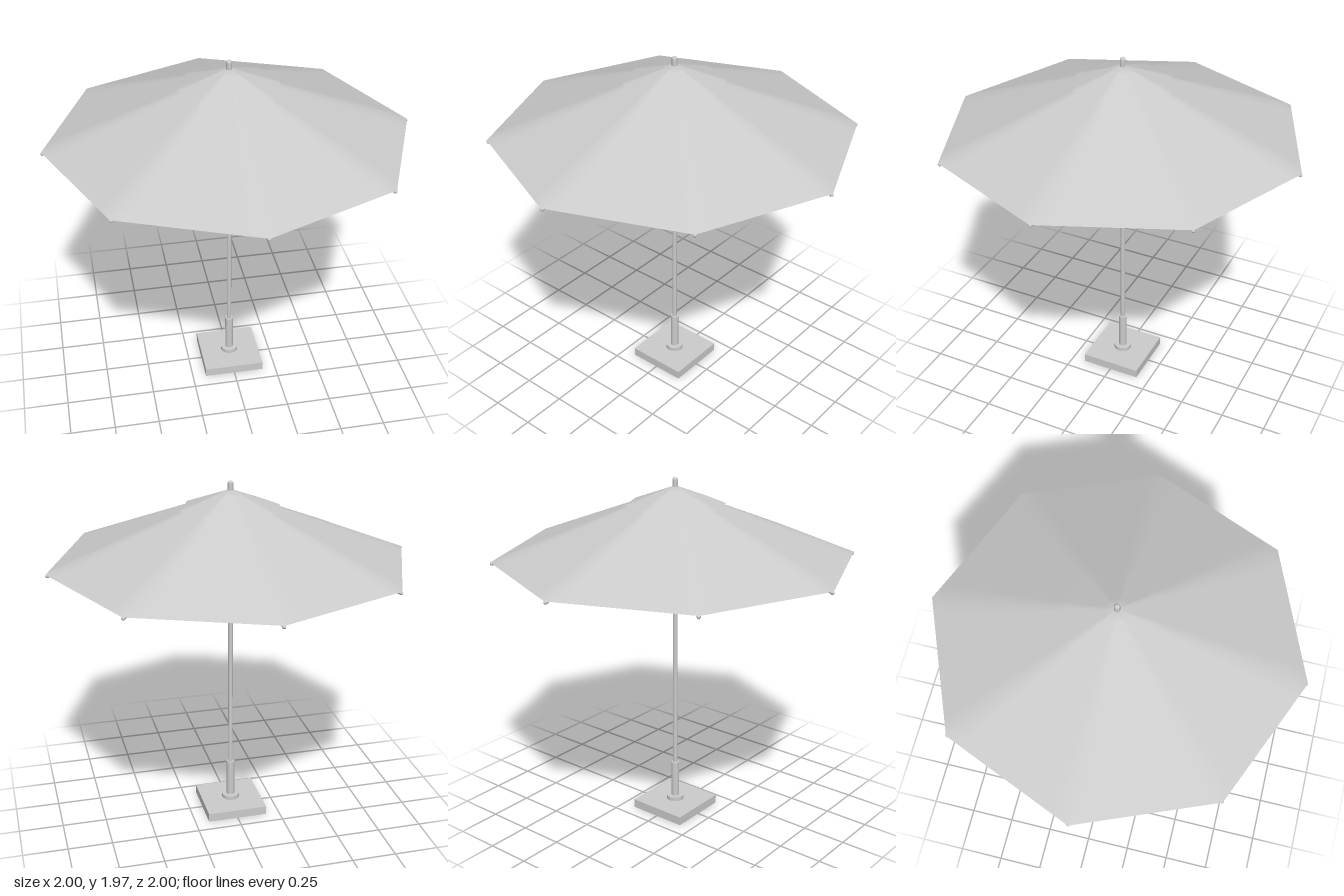
import * as THREE from 'three';

const SIDES = 8;
const grey = new THREE.MeshStandardMaterial({ color: 0xcccccc });
const cloth = new THREE.MeshStandardMaterial({ color: 0xcccccc, side: THREE.DoubleSide });

function add(parent, name, geometry, material = grey) {
  const mesh = new THREE.Mesh(geometry, material);
  mesh.name = name;
  parent.add(mesh);
  return mesh;
}

// Upright cylinder from y0 to y1
function post(parent, name, radius, y0, y1, segments = 24) {
  const mesh = add(parent, name, new THREE.CylinderGeometry(radius, radius, y1 - y0, segments));
  mesh.position.y = (y0 + y1) / 2;
  return mesh;
}

// Straight round bar between two points
function bar(parent, name, a, b, radius) {
  const dir = new THREE.Vector3().subVectors(b, a);
  const mesh = add(parent, name, new THREE.CylinderGeometry(radius, radius, dir.length(), 10));
  mesh.position.addVectors(a, b).multiplyScalar(0.5);
  mesh.quaternion.setFromUnitVectors(new THREE.Vector3(0, 1, 0), dir.normalize());
  return mesh;
}

// Eight-panelled cloth pyramid, softly creased at the seams
function octagonCloth(radius, top, bottom, rings) {
  const panelSteps = 8;
  const around = SIDES * panelSteps;
  const positions = [0, top, 0];
  const index = [];
  const corner = (i) => new THREE.Vector2(
    Math.cos((i * 2 * Math.PI) / SIDES), Math.sin((i * 2 * Math.PI) / SIDES));
  for (let r = 1; r <= rings; r++) {
    const t = r / rings;
    for (let s = 0; s < around; s++) {
      const panel = Math.floor(s / panelSteps);
      const p = corner(panel).lerp(corner(panel + 1), (s % panelSteps) / panelSteps);
      positions.push(p.x * radius * t, top + (bottom - top) * t, p.y * radius * t);
    }
  }
  const at = (r, s) => (r === 0 ? 0 : 1 + (r - 1) * around + (s % around));
  for (let r = 0; r < rings; r++) {
    for (let s = 0; s < around; s++) {
      index.push(at(r, s), at(r + 1, s + 1), at(r + 1, s));
      if (r > 0) index.push(at(r, s), at(r, s + 1), at(r + 1, s + 1));
    }
  }
  const geometry = new THREE.BufferGeometry();
  geometry.setAttribute('position', new THREE.Float32BufferAttribute(positions, 3));
  geometry.setIndex(index);
  geometry.computeVertexNormals();
  return geometry;
}

export function createModel() {
  const model = new THREE.Group();
  model.name = 'parasol';

  // Weighted base with flange and pole sleeve
  const base = new THREE.Group();
  base.name = 'base';
  model.add(base);
  add(base, 'baseSlab', new THREE.BoxGeometry(0.345, 0.05, 0.345)).position.y = 0.025;
  post(base, 'baseFlange', 0.05, 0.05, 0.073, 32);
  post(base, 'poleSleeve', 0.023, 0.073, 0.288);

  // Pole and rounded finial
  post(model, 'pole', 0.013, 0.06, 1.9);
  const finial = add(model, 'finial', new THREE.CapsuleGeometry(0.015, 0.07, 6, 20));
  finial.position.y = 1.92;

  // Canopy and the vent cap lying just above it
  add(model, 'canopy', octagonCloth(0.998, 1.915, 1.53, 12), cloth);
  add(model, 'ventCap', octagonCloth(0.275, 1.925, 1.822, 4), cloth);

  // Hubs on the pole
  post(model, 'topHub', 0.03, 1.83, 1.865);
  post(model, 'runnerHub', 0.032, 1.512, 1.53);
  post(model, 'runnerCollar', 0.024, 1.498, 1.512);

  // Ribs under the seams, each with a tip and a strut
  const frame = new THREE.Group();
  frame.name = 'frame';
  model.add(frame);
  const ribStart = new THREE.Vector3(0.02, 1.885, 0);
  const ribEnd = new THREE.Vector3(0.99, 1.522, 0);
  const strutStart = new THREE.Vector3(0.025, 1.523, 0);
  const strutEnd = ribStart.clone().lerp(ribEnd, 0.5);
  for (let i = 0; i < SIDES; i++) {
    const arm = new THREE.Group();
    arm.name = 'arm' + (i + 1);
    arm.rotation.y = (i * 2 * Math.PI) / SIDES;
    frame.add(arm);
    bar(arm, 'rib', ribStart, ribEnd, 0.01);
    add(arm, 'ribTip', new THREE.SphereGeometry(0.01, 12, 8)).position.copy(ribEnd);
    bar(arm, 'strut', strutStart, strutEnd, 0.008);
    const joint = add(arm, 'strutJoint', new THREE.BoxGeometry(0.03, 0.014, 0.014));
    joint.position.set(0.045, 1.524, 0);
  }
  return model;
}
